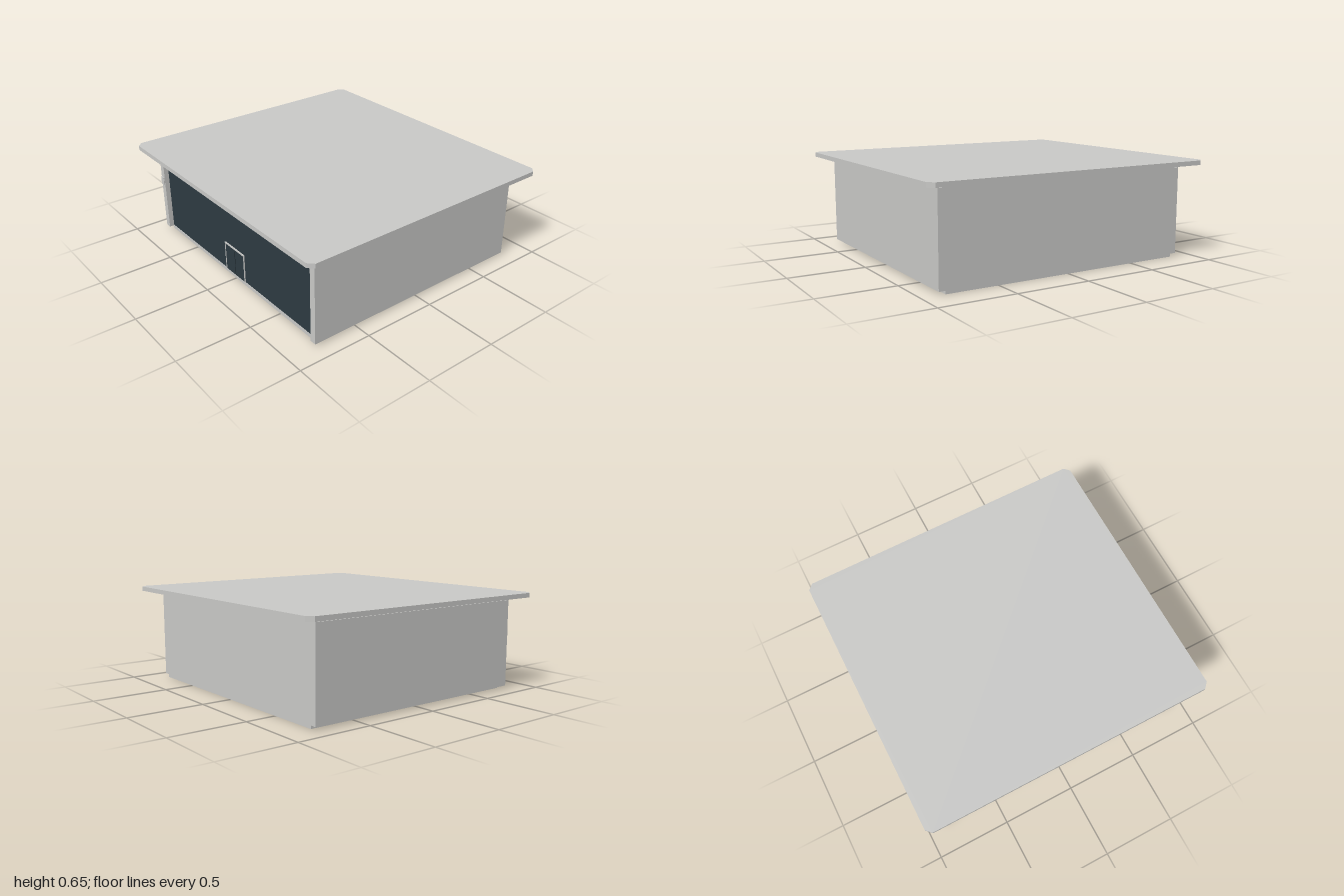
import * as THREE from 'three';

export function createModel() {
  const model = new THREE.Group();
  const mat = (name, color) => {
    const m = new THREE.MeshStandardMaterial({ color });
    m.name = name;
    return m;
  };
  const concrete = mat('pale concrete', 0xc9c9c7);
  const glass = mat('dark glass', 0x2d3a41);
  const seamDark = mat('door seam', 0x182126);

  // Box given by its min and max corners
  const box = (name, material, [x0, y0, z0], [x1, y1, z1], parent = model) => {
    const mesh = new THREE.Mesh(new THREE.BoxGeometry(x1 - x0, y1 - y0, z1 - z0), material);
    mesh.position.set((x0 + x1) / 2, (y0 + y1) / 2, (z0 + z1) / 2);
    mesh.name = name;
    parent.add(mesh);
    return mesh;
  };

  // Building body: floor, back wall and lintel around the glazed front
  const W = 0.847, BACK = -0.8, FRONT = 0.78;
  box('floorSlab', concrete, [-W, 0, BACK], [W, 0.025, FRONT]);
  box('backWall', concrete, [-W, 0.025, BACK], [W, 0.597, BACK + 0.04]);
  box('ceilingSlab', concrete, [-W, 0.597, BACK], [W, 0.622, FRONT]);
  box('glassFront', glass, [-W, 0.025, FRONT - 0.01], [W, 0.597, FRONT - 0.002]);

  // Side walls, raised off the ground and standing proud of the glass
  for (const s of [-1, 1]) {
    const x = [s * W, s * 0.89].sort((a, b) => a - b);
    box(s > 0 ? 'leftWall' : 'rightWall', concrete, [x[0], 0.02, BACK], [x[1], 0.6, 0.812]);
  }
  // Small plate on the front edge of one wall
  box('wallPlate', concrete, [-0.888, 0.36, 0.812], [-0.852, 0.415, 0.818]);

  // Double door with a thin pale frame
  const door = new THREE.Group();
  door.name = 'door';
  model.add(door);
  const D = 0.112, TOP = 0.228, Z = FRONT - 0.002;
  for (const s of [-1, 1]) {
    const frame = [s * D, s * (D - 0.006)].sort((a, b) => a - b);
    box('doorPost', concrete, [frame[0], 0.025, Z], [frame[1], TOP, Z + 0.007], door);
    const leaf = [s * 0.003, s * (D - 0.006)].sort((a, b) => a - b);
    box('doorLeaf', glass, [leaf[0], 0.025, Z], [leaf[1], TOP - 0.01, Z + 0.004], door);
  }
  box('doorHeader', concrete, [-D + 0.006, TOP - 0.01, Z], [D - 0.006, TOP, Z + 0.007], door);
  box('doorSeam', seamDark, [-0.003, 0.025, Z], [0.003, TOP - 0.01, Z + 0.003], door);

  // Overhanging roof slab with clipped corners
  const X = 1, R = 0.923, C = 0.036;
  const outline = [[X, -R + C], [X, R - C], [X - C, R], [-X + C, R],
    [-X, R - C], [-X, -R + C], [-X + C, -R], [X - C, -R]];
  const shape = new THREE.Shape(outline.map(([x, y]) => new THREE.Vector2(x, y)));
  const roofGeo = new THREE.ExtrudeGeometry(shape, { depth: 0.03, bevelEnabled: false });
  roofGeo.rotateX(-Math.PI / 2);
  const roof = new THREE.Mesh(roofGeo, concrete);
  roof.position.y = 0.622;
  roof.name = 'roof';
  model.add(roof);

  return model;
}
